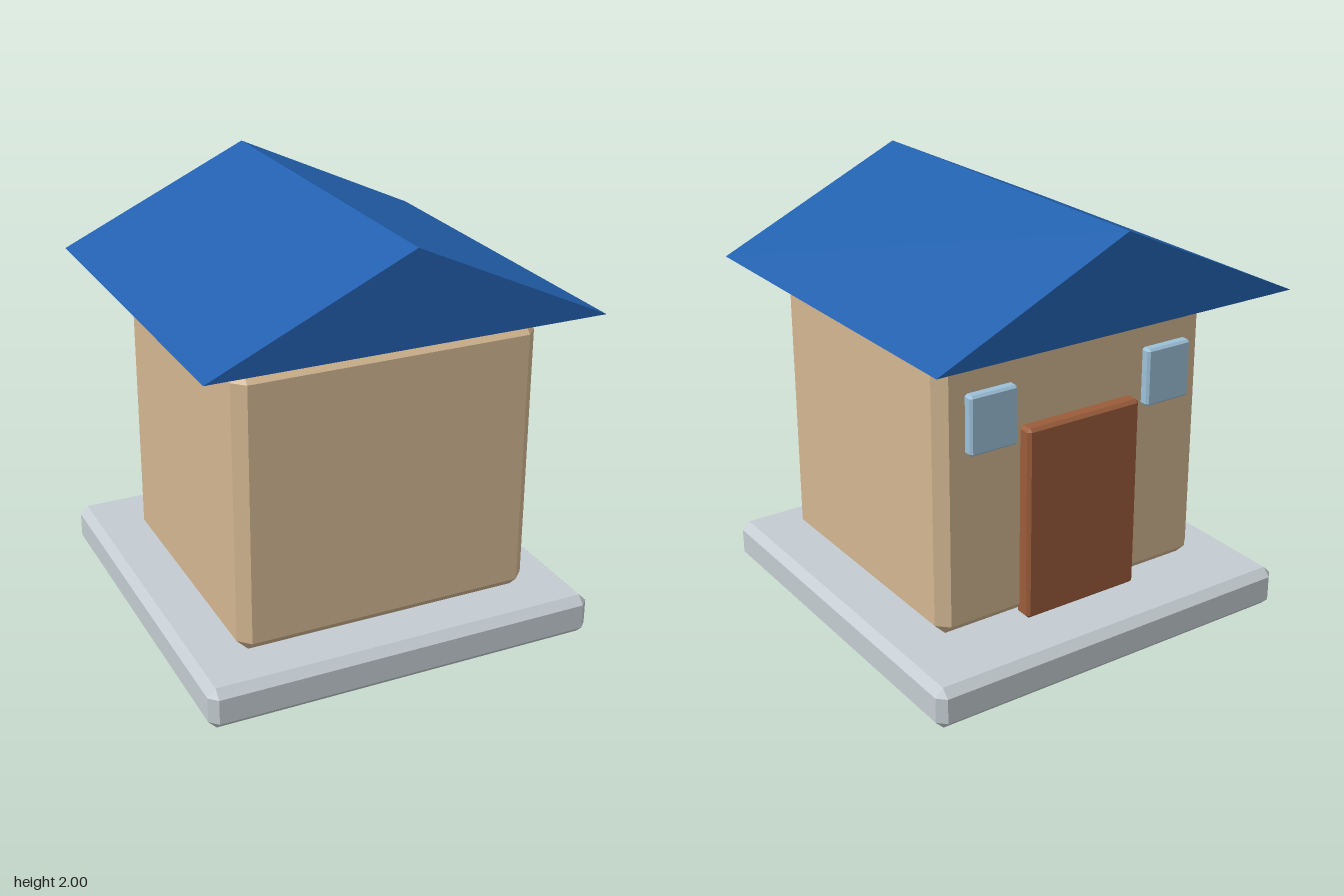
import * as THREE from 'three';
import { ConvexGeometry } from 'three/addons/geometries/ConvexGeometry.js';

const paint = (name, color) => {
  const m = new THREE.MeshStandardMaterial({ color });
  m.name = name;
  return m;
};

// Box with chamfered edges and corners, given by its min and max corners
function chamferBox(min, max, bevel) {
  const half = max.map((v, i) => (v - min[i]) / 2);
  const points = [];
  for (const sx of [-1, 1]) for (const sy of [-1, 1]) for (const sz of [-1, 1]) {
    for (let axis = 0; axis < 3; axis++) {
      const p = half.map((h, i) => (i === axis ? h : h - bevel));
      points.push(new THREE.Vector3(sx * p[0], sy * p[1], sz * p[2]));
    }
  }
  return new ConvexGeometry(points);
}

export function createModel() {
  const house = new THREE.Group();
  house.name = 'house';
  const stone = paint('grey stone', 0xc4ccd1);
  const plaster = paint('tan plaster', 0xd2b691);
  const tile = paint('blue roof', 0x2260ae);
  const wood = paint('brown wood', 0x9a5c3a);
  const glass = paint('pale blue glass', 0x9cc0d8);

  const addBlock = (name, min, max, bevel, material) => {
    const mesh = new THREE.Mesh(chamferBox(min, max, bevel), material);
    mesh.name = name;
    mesh.position.set(...min.map((v, i) => (v + max[i]) / 2));
    house.add(mesh);
  };

  addBlock('foundation', [-0.935, 0, -0.935], [0.935, 0.195, 0.935], 0.038, stone);
  addBlock('walls', [-0.712, 0.195, -0.595], [0.712, 1.512, 0.728], 0.053, plaster);

  // Door and windows on the back wall
  addBlock('door', [-0.3, 0.195, -0.66], [0.3, 1.115, -0.57], 0.015, wood);
  for (const [name, x] of [['leftWindow', 0.468], ['rightWindow', -0.468]]) {
    addBlock(name, [x - 0.12, 1.06, -0.651], [x + 0.12, 1.332, -0.596], 0.011, glass);
  }

  // Gable roof: a solid triangular prism running along z
  const gable = new THREE.Shape();
  gable.moveTo(-0.915, 1.577);
  gable.lineTo(0.915, 1.577);
  gable.lineTo(0, 2);
  const roofGeometry = new THREE.ExtrudeGeometry(gable, { depth: 1.83, bevelEnabled: false });
  roofGeometry.translate(0, 0, -0.915);
  const roof = new THREE.Mesh(roofGeometry, tile);
  roof.name = 'roof';
  house.add(roof);

  return house;
}
